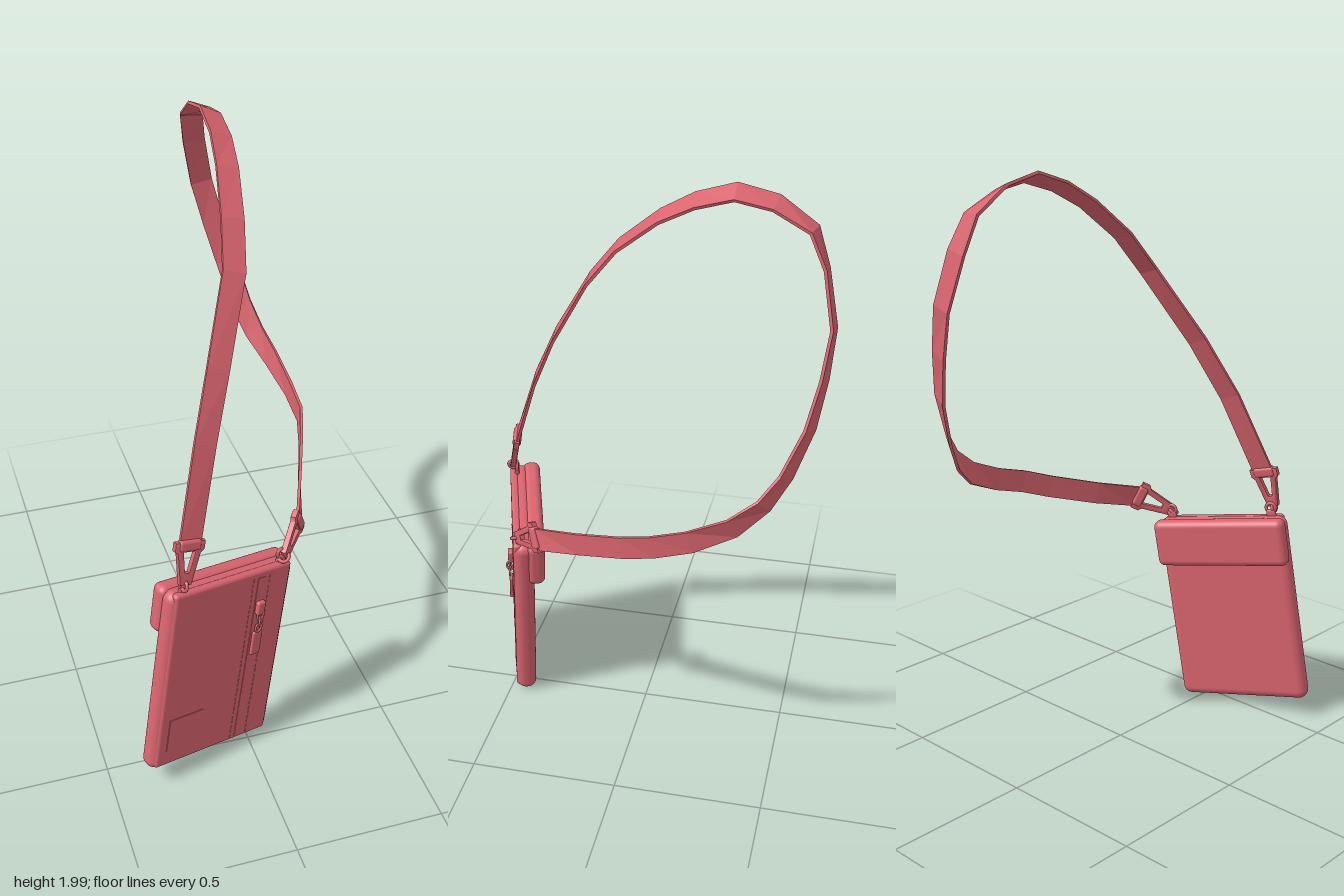
import * as THREE from 'three';
import { RoundedBoxGeometry } from 'three/addons/geometries/RoundedBoxGeometry.js';
import { mergeGeometries, toCreasedNormals } from 'three/addons/utils/BufferGeometryUtils.js';

const mat = new THREE.MeshStandardMaterial({ color: 0xd9646e });
const flatMat = new THREE.MeshStandardMaterial({ color: 0xd9646e, flatShading: true });
const V = (a) => new THREE.Vector3(...a);

function add(parent, name, geo, x = 0, y = 0, z = 0, material = mat) {
  const m = new THREE.Mesh(geo, material);
  m.name = name;
  m.position.set(x, y, z);
  parent.add(m);
  return m;
}

// Turns a group so its local y follows axis and its local x follows across
function place(group, pos, axis, across) {
  const y = V(axis).normalize();
  const x = V(across).addScaledVector(y, -V(across).dot(y)).normalize();
  group.quaternion.setFromRotationMatrix(new THREE.Matrix4().makeBasis(x, y, x.clone().cross(y)));
  group.position.set(...pos);
  return group;
}

function createPouch() {
  const g = new THREE.Group();
  g.name = 'pouch';
  const front = 0.025;
  add(g, 'body', new RoundedBoxGeometry(0.49, 0.7, 0.07, 5, 0.032), 0, 0, -0.01);
  add(g, 'frontPanel', new RoundedBoxGeometry(0.46, 0.69, 0.03, 4, 0.012), 0, 0.006, 0.012);
  add(g, 'backFlap', new RoundedBoxGeometry(0.5, 0.172, 0.062, 5, 0.024), 0, 0.267, -0.051);

  // Zip strip with a row of stitches on each side
  add(g, 'zipTape', new THREE.BoxGeometry(0.03, 0.65, 0.004), 0.11, 0, front + 0.002);
  const stitches = [];
  for (const x of [0.077, 0.143])
    for (let y = -0.32; y <= 0.325; y += 0.02)
      stitches.push(new THREE.BoxGeometry(0.003, 0.011, 0.004).translate(x, y, front + 0.002));
  add(g, 'stitching', mergeGeometries(stitches));

  // Zip slider, chain links and pull tag
  add(g, 'zipSlider', new RoundedBoxGeometry(0.032, 0.05, 0.02, 2, 0.007), 0.115, 0.21, front + 0.01);
  for (let i = 0; i < 3; i++) {
    const link = add(g, 'pullLink', new THREE.TorusGeometry(0.012, 0.004, 6, 12), 0.115, 0.183 - i * 0.024, front + 0.016);
    link.scale.y = 1.3;
    link.rotation.y = i % 2 ? 0.9 : 0;
  }
  add(g, 'pullTag', new RoundedBoxGeometry(0.037, 0.09, 0.012, 2, 0.004), 0.118, 0.07, front + 0.011);

  // Plain patch sewn to the lower corner
  add(g, 'patch', new THREE.BoxGeometry(0.13, 0.13, 0.003), -0.127, -0.213, front + 0.003);

  // Loops on the top edge
  for (const x of [-0.188, 0.2]) {
    add(g, 'topTab', new RoundedBoxGeometry(0.034, 0.035, 0.016, 2, 0.006), x, 0.355, 0.002);
    add(g, 'topRing', new THREE.TorusGeometry(0.017, 0.006, 8, 16), x, 0.378, 0.002);
  }
  return place(g, [-0.11, 0.385, 0.5], [0.14, 0.985, -0.07], [0.935, -0.15, -0.31]);
}

// Tapered clip frame, opening in the middle, hook below and bar above
function createClip(name) {
  const g = new THREE.Group();
  g.name = name;
  const outline = (pts) => pts.map(([x, y]) => new THREE.Vector2(x, y));
  const shape = new THREE.Shape(outline([
    [-0.018, 0], [0.018, 0], [0.038, 0.105], [0.05, 0.115], [0.05, 0.14], [-0.05, 0.14], [-0.05, 0.115], [-0.038, 0.105],
  ]));
  shape.holes.push(new THREE.Path(outline([[-0.01, 0.035], [-0.024, 0.112], [0.024, 0.112], [0.01, 0.035]])));
  const frame = new THREE.ExtrudeGeometry(shape, {
    depth: 0.012, bevelEnabled: true, bevelSize: 0.003, bevelThickness: 0.004, bevelSegments: 2,
  }).translate(0, 0, -0.006);
  add(g, 'clipFrame', toCreasedNormals(frame, 0.7));
  add(g, 'clipHook', new THREE.TorusGeometry(0.017, 0.006, 8, 16), 0, -0.008, 0).rotation.y = Math.PI / 2;
  add(g, 'strapFold', new RoundedBoxGeometry(0.078, 0.036, 0.03, 2, 0.01), 0, 0.13, 0);
  return g;
}

// Flat band swept through stations of [centre, direction across the band]
function createStrap() {
  const stations = [
    [[-0.207, 0.925, 0.515], [0.93, -0.25, -0.2]],
    [[-0.13, 1.2, 0.415], [0.93, -0.28, -0.12]],
    [[-0.06, 1.4, 0.32], [0.94, -0.28, -0.05]],
    [[0.035, 1.645, 0.175], [0.95, -0.25, 0]],
    [[0.06, 1.77, 0.075], [0.95, -0.25, 0]],
    [[0.085, 1.88, -0.06], [0.93, -0.3, 0]],
    [[0.098, 1.94, -0.17], [0.9, -0.38, 0]],
    [[0.1, 1.975, -0.29], [0.9, -0.42, 0]],
    [[0.1, 1.95, -0.41], [0.92, -0.36, 0.05]],
    [[0.107, 1.88, -0.525], [0.97, -0.1, 0.1]],
    [[0.128, 1.77, -0.57], [0.97, 0.18, 0.05]],
    [[0.165, 1.6, -0.605], [0.96, 0.24, 0.1]],
    [[0.205, 1.45, -0.59], [0.92, 0.3, 0.2]],
    [[0.247, 1.3, -0.56], [0.87, 0.4, 0.3]],
    [[0.285, 1.15, -0.5], [0.78, 0.53, 0.38]],
    [[0.318, 1.06, -0.44], [0.6, 0.7, 0.4]],
    [[0.355, 0.99, -0.35], [0.3, 0.87, 0.36]],
    [[0.376, 0.935, -0.22], [0.05, 0.95, 0.3]],
    [[0.376, 0.9, -0.1], [0, 0.97, 0.27]],
    [[0.345, 0.865, 0], [-0.05, 0.97, 0.25]],
    [[0.28, 0.815, 0.17], [-0.1, 0.96, 0.27]],
    [[0.222, 0.777, 0.33], [-0.3, 0.9, 0.3]],
  ];
  const halfWidth = 0.038, halfThick = 0.005;
  const pos = [], index = [];
  stations.forEach(([c, w], i) => {
    const centre = V(c);
    const next = V(stations[Math.min(i + 1, stations.length - 1)][0]);
    const prev = V(stations[Math.max(i - 1, 0)][0]);
    const tangent = next.sub(prev).normalize();
    const across = V(w).addScaledVector(tangent, -V(w).dot(tangent)).normalize();
    const normal = across.clone().cross(tangent);
    for (const [a, b] of [[-1, -1], [1, -1], [1, 1], [-1, 1]]) {
      const p = centre.clone().addScaledVector(across, a * halfWidth).addScaledVector(normal, b * halfThick);
      pos.push(p.x, p.y, p.z);
    }
    if (i === 0) return;
    for (let k = 0; k < 4; k++) {
      const a = (i - 1) * 4 + k, b = (i - 1) * 4 + (k + 1) % 4;
      index.push(a, a + 4, b, b, a + 4, b + 4);
    }
  });
  const e = pos.length / 3 - 4;
  index.push(0, 1, 2, 0, 2, 3, e, e + 2, e + 1, e, e + 3, e + 2);
  const geo = new THREE.BufferGeometry();
  geo.setAttribute('position', new THREE.Float32BufferAttribute(pos, 3));
  geo.setIndex(index);
  geo.computeVertexNormals();
  return geo;
}

export function createModel() {
  const model = new THREE.Group();
  model.name = 'shoulderPouch';
  model.add(createPouch());
  model.add(place(createClip('rightClip'), [-0.235, 0.797, 0.547], [0.03, 0.155, -0.035], [0.93, -0.25, -0.2]));
  model.add(place(createClip('leftClip'), [0.14, 0.722, 0.42], [0.085, 0.065, -0.1], [-0.35, 0.9, 0.3]));
  const strapMat = flatMat.clone();
  strapMat.side = THREE.DoubleSide;
  add(model, 'strap', createStrap(), 0, 0, 0, strapMat);
  return model;
}
